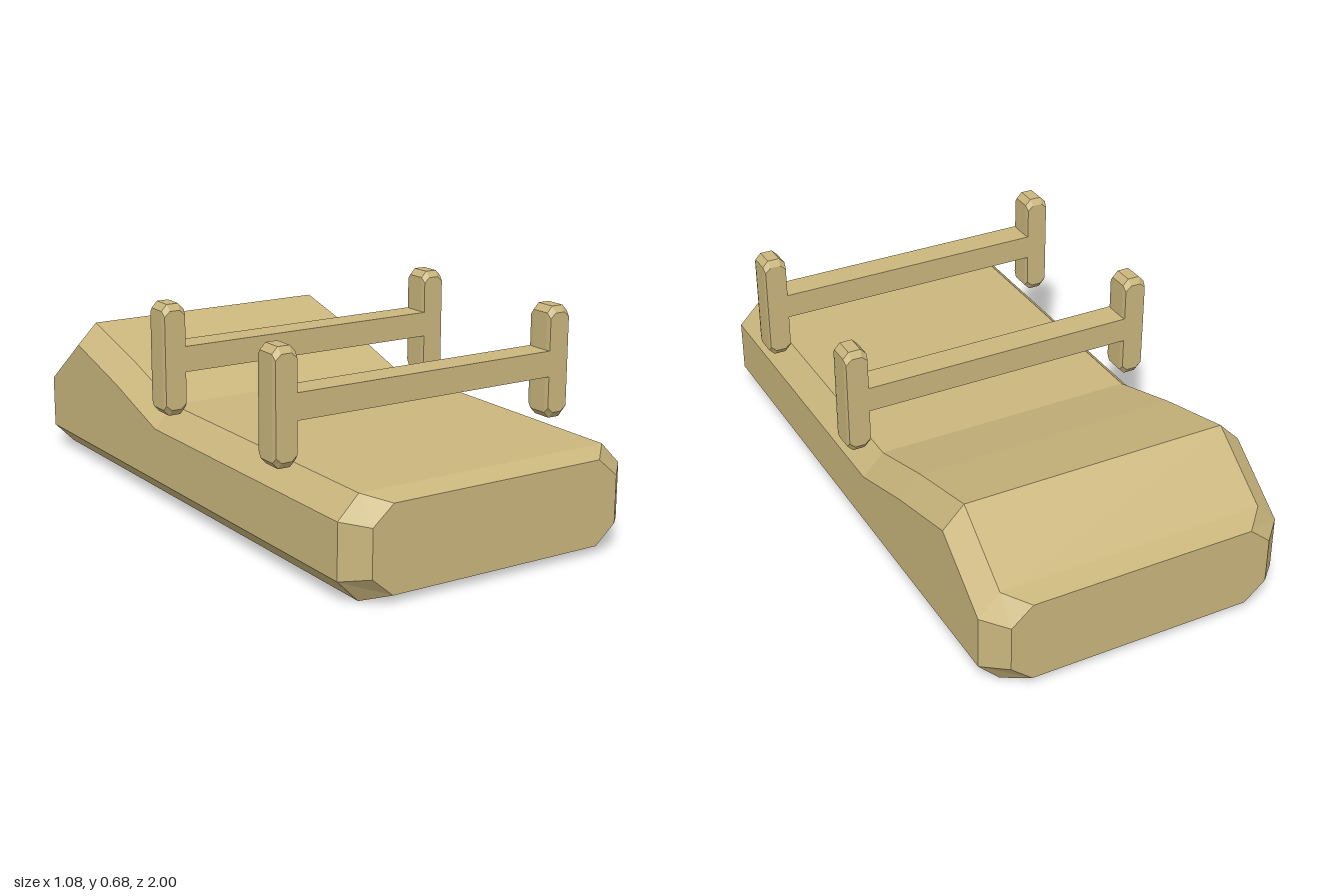
import * as THREE from 'three';

const material = new THREE.MeshStandardMaterial({ color: 0xcab67d, flatShading: true });

// Clipped rectangle at depth z, counter-clockwise seen from +z
function section(z, halfWidth, bottom, top, cutX, cutY) {
  const w = halfWidth, i = halfWidth - cutX;
  return [
    [i, bottom], [w, bottom + cutY], [w, top - cutY], [i, top],
    [-i, top], [-w, top - cutY], [-w, bottom + cutY], [-i, bottom],
  ].map(([x, y]) => new THREE.Vector3(x, y, z));
}

// Closed solid through sections ordered from back (-z) to front (+z)
function loft(sections) {
  const n = sections[0].length, points = [];
  const tri = (...corners) => corners.forEach((p) => points.push(p));
  for (let s = 0; s < sections.length - 1; s++) {
    for (let j = 0; j < n; j++) {
      const k = (j + 1) % n;
      const a = sections[s][j], b = sections[s][k];
      const c = sections[s + 1][k], d = sections[s + 1][j];
      tri(a, b, c);
      tri(a, c, d);
    }
  }
  const back = sections[0], front = sections[sections.length - 1];
  for (let j = 1; j < n - 1; j++) {
    tri(front[0], front[j], front[j + 1]);
    tri(back[0], back[j + 1], back[j]);
  }
  const geometry = new THREE.BufferGeometry().setFromPoints(points);
  geometry.computeVertexNormals();
  return geometry;
}

function part(name, geometry, parent) {
  const mesh = new THREE.Mesh(geometry, material);
  mesh.name = name;
  parent.add(mesh);
  return mesh;
}

export function createModel() {
  const model = new THREE.Group();
  model.name = 'bed';

  // Bevelled slab rising to a wedge headrest at the back
  const profile = [[-0.93, 0.317], [-0.71, 0.482], [-0.42, 0.405], [-0.145, 0.317], [0.93, 0.317]];
  part('base', loft([
    section(-1, 0.44, 0.025, 0.295, 0.07, 0.06),
    ...profile.map(([z, top]) => section(z, 0.51, 0, top, 0.07, 0.071)),
    section(1, 0.44, 0.025, 0.295, 0.07, 0.06),
  ]), model);

  // H-shaped restraint frames: two bevelled posts joined by a crossbar
  const postGeometry = loft([
    section(-0.048, 0.036, -0.16, 0.16, 0.019, 0.017),
    section(-0.033, 0.039, -0.18, 0.18, 0.019, 0.02),
    section(0.033, 0.039, -0.18, 0.18, 0.019, 0.02),
    section(0.048, 0.036, -0.16, 0.16, 0.019, 0.017),
  ]);
  const barGeometry = new THREE.BoxGeometry(0.928, 0.083, 0.096);
  for (const [name, z] of [['frontFrame', 0.602], ['middleFrame', -0.06]]) {
    const frame = new THREE.Group();
    frame.name = name;
    frame.position.set(0, 0.5, z);
    part('leftPost', postGeometry, frame).position.x = 0.499;
    part('rightPost', postGeometry, frame).position.x = -0.499;
    part('crossbar', barGeometry, frame);
    model.add(frame);
  }
  return model;
}
